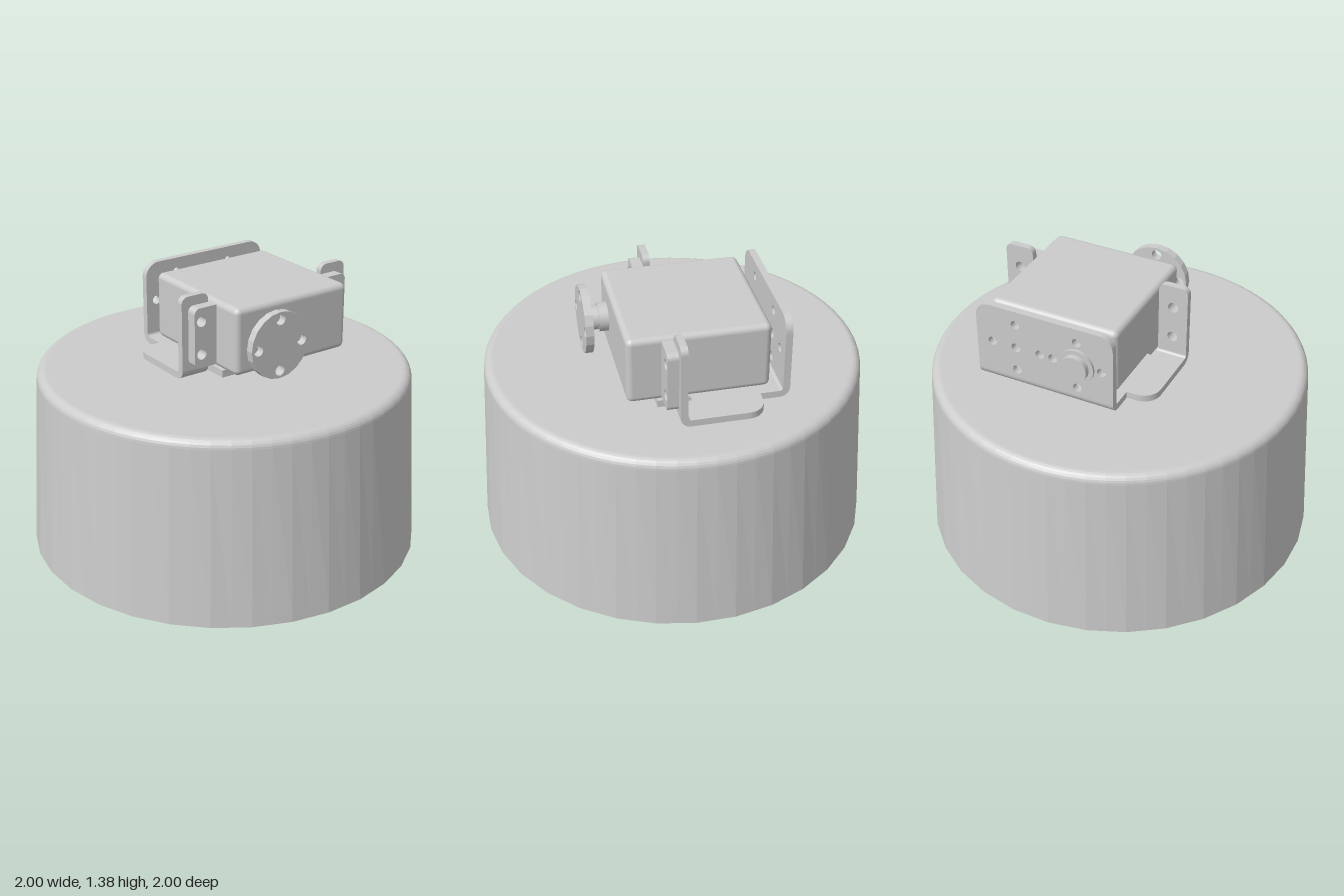
import * as THREE from 'three';
import { RoundedBoxGeometry } from 'three/addons/geometries/RoundedBoxGeometry.js';

const grey = new THREE.MeshStandardMaterial({ color: 0xcccccc });
const faceted = new THREE.MeshStandardMaterial({ color: 0xcccccc, flatShading: true });
const T = 0.035;          // sheet thickness
const FLOOR = 0.955;      // underside of the bracket
const BEND = 0.05;        // outer bend radius
const MID = -0.1775;      // z of the servo's middle plane
const AXIS = 1.18;        // height of the output shaft

function add(parent, name, geometry, x = 0, y = 0, z = 0, material = grey) {
  const mesh = new THREE.Mesh(geometry, material);
  mesh.name = name;
  mesh.position.set(x, y, z);
  parent.add(mesh);
  return mesh;
}

// Polygon from [u, v, cornerRadius] points, with round holes [u, v, radius]
function roundedShape(points, holes = []) {
  const shape = new THREE.Shape();
  const n = points.length;
  points.forEach(([u, v, r = 0], i) => {
    const p = new THREE.Vector2(u, v);
    const toward = ([a, b]) => new THREE.Vector2(a, b).sub(p).setLength(r).add(p);
    const a = r ? toward(points[(i + n - 1) % n]) : p;
    if (i) shape.lineTo(a.x, a.y); else shape.moveTo(a.x, a.y);
    if (r) {
      const b = toward(points[(i + 1) % n]);
      const k = 0.55;
      shape.bezierCurveTo(
        a.x + (u - a.x) * k, a.y + (v - a.y) * k,
        b.x + (u - b.x) * k, b.y + (v - b.y) * k, b.x, b.y);
    }
  });
  shape.closePath();
  for (const [u, v, r] of holes) {
    shape.holes.push(new THREE.Path().absarc(u, v, r, 0, Math.PI * 2, true));
  }
  return shape;
}

const extrude = (shape, depth) =>
  new THREE.ExtrudeGeometry(shape, { depth, bevelEnabled: false, curveSegments: 10 });
// Shapes are drawn with u = -z; wall() thickens along +x, slab() along +y
const wall = (shape, depth = T) => extrude(shape, depth).rotateY(Math.PI / 2);
const slab = (shape, depth = T) => extrude(shape, depth).rotateX(-Math.PI / 2);
const disc = (r, length) => new THREE.CylinderGeometry(r, r, length, 32).rotateZ(Math.PI / 2);

// Quarter-round sheet bend, from angle a0, running along z
function bend(a0, length) {
  const shape = new THREE.Shape();
  shape.absarc(0, 0, BEND, a0, a0 + Math.PI / 2, false);
  shape.absarc(0, 0, BEND - T, a0 + Math.PI / 2, a0, true);
  shape.closePath();
  return extrude(shape, length).translate(0, 0, -length / 2);
}

// Hollow tapered housing: 64 sides above, 32 sides at the foot
function housingGeometry() {
  const profile = [[0, 0.9], [0.905, 0.9], [0.954, 0], [1, 0]];
  for (let i = 0; i <= 6; i++) {
    const a = (i / 6) * Math.PI / 2;
    profile.push([0.905 + 0.046 * Math.cos(a), 0.904 + 0.046 * Math.sin(a)]);
  }
  profile.push([0, 0.95]);
  const geo = new THREE.LatheGeometry(profile.map(([r, y]) => new THREE.Vector2(r, y)), 64);
  const pos = geo.attributes.position;
  const k = 1 / Math.cos(Math.PI / 32);
  for (let i = 0; i < pos.count; i++) {
    const ring = Math.floor(i / profile.length);
    if (pos.getY(i) === 0 && ring % 2) pos.setXYZ(i, pos.getX(i) * k, 0, pos.getZ(i) * k);
  }
  return geo;
}

function buildBracket() {
  const g = new THREE.Group();
  g.name = 'bracket';
  const xL = -0.457, xR = 0.11, yB = FLOOR + BEND;

  // floor with widened arms that carry the front and back flanges
  add(g, 'bracketFloor', slab(roundedShape([
    [xL + BEND, -0.19], [-0.31, -0.19], [-0.31, -0.33, 0.09], [xR - BEND, -0.33],
    [xR - BEND, -0.175], [0.02, -0.175], [0.02, 0.53], [xR - BEND, 0.53],
    [xR - BEND, 0.685], [-0.31, 0.685, 0.09], [-0.31, 0.545], [xL + BEND, 0.545],
  ])), 0, FLOOR, 0);

  // pivot wall with two rings of holes
  const holes = [[0.33, AXIS, 0.025]];
  for (const u of [0, 0.33]) {
    for (const [du, dv] of [[0.13, 0], [-0.13, 0], [0, 0.13], [0, -0.13]]) {
      holes.push([u + du, AXIS + dv, 0.023]);
    }
  }
  add(g, 'pivotWall', wall(roundedShape([
    [-0.19, yB], [0.545, yB], [0.545, 1.385, 0.075], [-0.19, 1.385, 0.075],
  ], holes)), xL, 0, 0);
  add(g, 'pivotWallBend', bend(Math.PI, 0.735), xL + BEND, yB, MID);
  add(g, 'pivotCollar', disc(0.093, 0.014), xL - 0.007, AXIS, 0);
  add(g, 'pivotPin', disc(0.07, 0.04), xL - 0.023, AXIS, 0);

  // mounting flanges
  for (const s of [-1, 1]) {
    const u = -MID - s * 0.43;
    add(g, 'mountFlange', wall(roundedShape([
      [u - 0.077, yB], [u + 0.077, yB], [u + 0.077, 1.385, 0.035], [u - 0.077, 1.385, 0.035],
    ], [[u, 1.265, 0.027], [u, 1.095, 0.027]])), xR - T, 0, 0);
    add(g, 'mountFlangeBend', bend(Math.PI * 1.5, 0.154), xR - BEND, yB, MID + s * 0.43);
  }
  return g;
}

function buildServo() {
  const g = new THREE.Group();
  g.name = 'servo';
  add(g, 'servoCase', new RoundedBoxGeometry(0.695, 0.345, 0.685, 4, 0.03), -0.0175, 1.18, MID);

  // screw ears
  for (const s of [-1, 1]) {
    const at = (d) => -MID - s * d;
    const points = [
      [at(0.33), 1.025], [at(0.47), 1.025, 0.03], [at(0.47), 1.335, 0.03], [at(0.33), 1.335],
    ];
    if (s > 0) points.reverse();
    add(g, 'servoEar', wall(roundedShape(points,
      [[at(0.43), 1.265, 0.027], [at(0.43), 1.095, 0.027]]), 0.055), 0.11, 0, 0);
  }

  // output shaft and round horn
  add(g, 'shaftBoss', disc(0.072, 0.05), 0.35, AXIS, 0);
  add(g, 'shaftHub', disc(0.06, 0.1), 0.375, AXIS, 0);
  const horn = new THREE.Shape().absarc(0, 0, 0.17, 0, Math.PI * 2, false);
  for (let i = 0; i < 4; i++) {
    const a = i * Math.PI / 2;
    horn.holes.push(new THREE.Path().absarc(
      0.13 * Math.cos(a), 0.13 * Math.sin(a), 0.027, 0, Math.PI * 2, true));
  }
  add(g, 'horn', wall(horn, 0.04), 0.42, AXIS, 0);
  return g;
}

export function createModel() {
  const model = new THREE.Group();
  model.name = 'servoOnHousing';
  add(model, 'housing', housingGeometry(), 0, 0, 0, faceted);
  // spacer pad under the servo
  add(model, 'spacerPad', new THREE.BoxGeometry(0.48, 0.045, 0.635), -0.06, 0.965, MID);
  model.add(buildBracket(), buildServo());
  return model;
}
